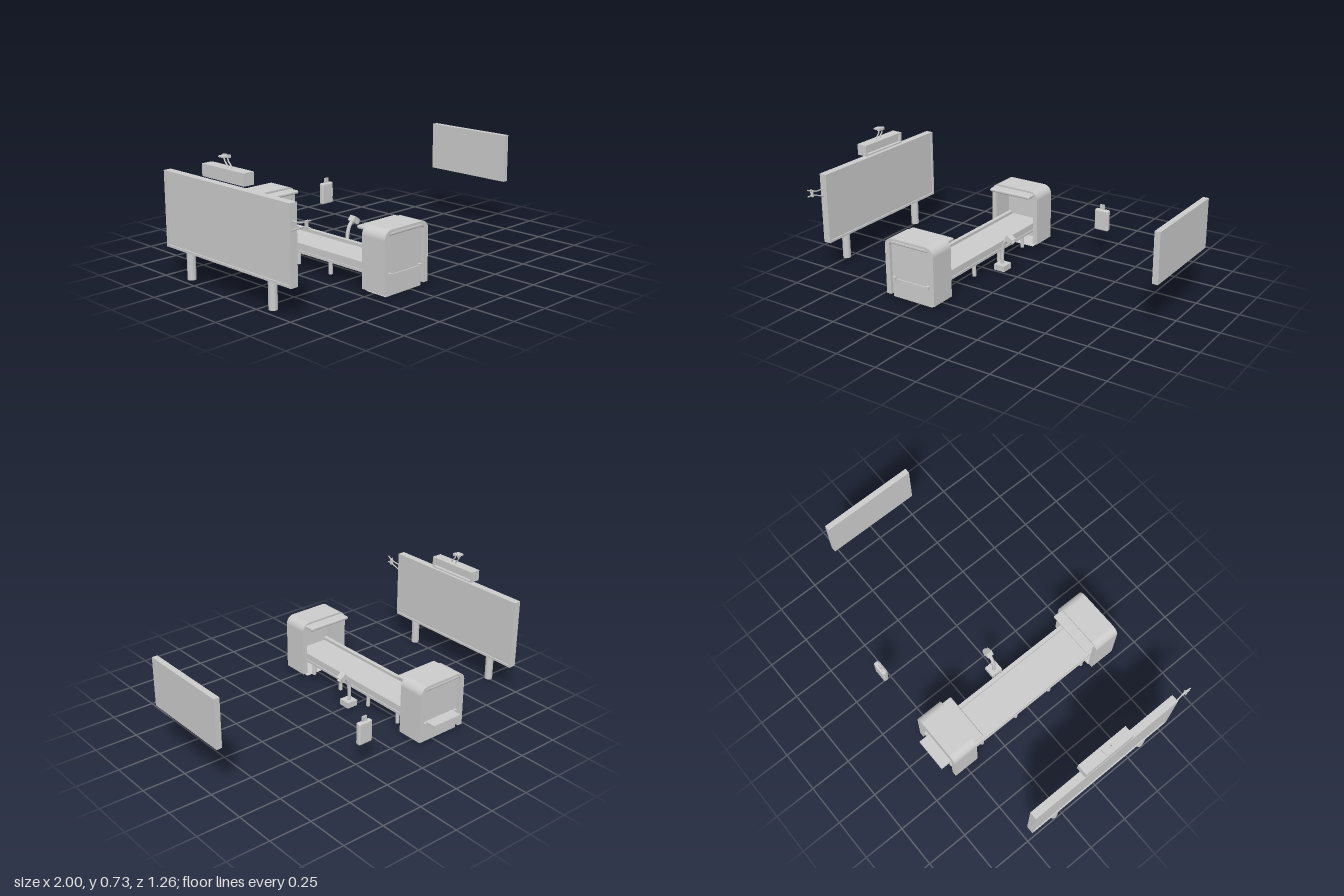
import * as THREE from 'three';
import { RoundedBoxGeometry } from 'three/addons/geometries/RoundedBoxGeometry.js';

const mat = new THREE.MeshStandardMaterial({ color: 0xcccccc });
const thin = new THREE.MeshStandardMaterial({ color: 0xcccccc, side: THREE.DoubleSide });

function add(parent, name, geometry, x = 0, y = 0, z = 0, material = mat) {
  const mesh = new THREE.Mesh(geometry, material);
  mesh.name = name;
  mesh.position.set(x, y, z);
  parent.add(mesh);
  return mesh;
}

// Box given by its limits on each axis
function box(parent, name, x0, x1, y0, y1, z0, z1) {
  return add(parent, name, new THREE.BoxGeometry(x1 - x0, y1 - y0, z1 - z0),
    (x0 + x1) / 2, (y0 + y1) / 2, (z0 + z1) / 2);
}

function post(parent, name, r, x, y0, y1, z) {
  return add(parent, name, new THREE.CylinderGeometry(r, r, y1 - y0, 20), x, (y0 + y1) / 2, z);
}

function tube(parent, name, points, r) {
  const curve = new THREE.CatmullRomCurve3(points.map(p => new THREE.Vector3(...p)));
  return add(parent, name, new THREE.TubeGeometry(curve, 24, r, 10), 0, 0, 0, thin);
}

function group(parent, name) {
  const g = new THREE.Group();
  g.name = name;
  parent.add(g);
  return g;
}

// Upright rectangular rim facing x
function rim(parent, name, x0, x1, y0, y1, z0, z1, w) {
  box(parent, name + 'Top', x0, x1, y1 - w, y1, z0, z1);
  box(parent, name + 'Bottom', x0, x1, y0, y0 + w, z0, z1);
  box(parent, name + 'Front', x0, x1, y0 + w, y1 - w, z1 - w, z1);
  box(parent, name + 'Back', x0, x1, y0 + w, y1 - w, z0, z0 + w);
}

// Arch outline: straight sides, rounded top corners
function arch(path, hw, y0, y1, r) {
  path.moveTo(-hw, y0);
  path.lineTo(hw, y0);
  path.lineTo(hw, y1 - r);
  path.absarc(hw - r, y1 - r, r, 0, Math.PI / 2, false);
  path.lineTo(-hw + r, y1);
  path.absarc(-hw + r, y1 - r, r, Math.PI / 2, Math.PI, false);
  path.closePath();
  return path;
}

// Hollow hood as one continuous band, open underneath
function hoodShape() {
  const s = new THREE.Shape();
  const W = 0.163, T = 0.355, R = 0.05, w = 0.133, t = 0.341, r = 0.03, b = 0.02;
  s.moveTo(W, b);
  s.lineTo(W, T - R);
  s.absarc(W - R, T - R, R, 0, Math.PI / 2, false);
  s.absarc(-W + R, T - R, R, Math.PI / 2, Math.PI, false);
  s.lineTo(-W, b);
  s.lineTo(-w, b);
  s.lineTo(-w, t - r);
  s.absarc(-w + r, t - r, r, Math.PI, Math.PI / 2, true);
  s.absarc(w - r, t - r, r, Math.PI / 2, 0, true);
  s.lineTo(w, b);
  s.closePath();
  return s;
}

// One end housing, its outer side facing +z
function housing(parent, name) {
  const g = group(parent, name);
  add(g, 'hood', new THREE.ExtrudeGeometry(hoodShape(),
    { depth: 0.158, bevelEnabled: false, curveSegments: 10 }), 0, 0, 0.445);
  add(g, 'endPanel', new THREE.ShapeGeometry(arch(new THREE.Shape(), 0.133, 0, 0.33, 0.025)),
    0, 0, 0.583, thin);
  const floor = add(g, 'floorPlate', new THREE.PlaneGeometry(0.266, 0.138), 0, 0.001, 0.514, thin);
  floor.rotation.x = -Math.PI / 2;
  add(g, 'visor', new RoundedBoxGeometry(0.282, 0.02, 0.07, 3, 0.008), 0, 0.333, 0.42);
  add(g, 'outerLip', new RoundedBoxGeometry(0.262, 0.02, 0.03, 3, 0.008), 0, 0.333, 0.588);
  box(g, 'slotBar', -0.11, 0.11, 0.108, 0.114, 0.583, 0.59);
  for (const s of [-1, 1]) {
    box(g, 'bracket', s * 0.114 - 0.009, s * 0.114 + 0.009, 0.105, 0.125, 0.583, 0.6);
  }
  return g;
}

export function createModel() {
  const root = new THREE.Group();
  root.name = 'conveyorStation';

  // Conveyor with a housing at each end
  const conveyor = group(root, 'conveyor');
  conveyor.position.x = -0.298;
  housing(conveyor, 'frontHousing');
  const back = housing(conveyor, 'backHousing');
  back.rotation.y = Math.PI;
  back.position.z = 0.023;
  box(conveyor, 'outfeedTray', -0.1, 0.1, 0.105, 0.125, -0.628, -0.5);
  box(conveyor, 'belt', -0.1, 0.1, 0.108, 0.126, -0.55, 0.57);
  for (const s of [-1, 1]) {
    const x = s * 0.11;
    box(conveyor, 'railCore', x - 0.007, x + 0.007, 0.095, 0.138, -0.55, 0.57);
    box(conveyor, 'railTop', x - 0.012, x + 0.012, 0.13, 0.145, -0.55, 0.57);
    box(conveyor, 'railBottom', x - 0.012, x + 0.012, 0.088, 0.103, -0.55, 0.57);
    for (let i = 0; i < 4; i++) {
      post(conveyor, 'leg', 0.0115, s * 0.108, 0.02, 0.09, 0.407 - i * 0.25);
    }
  }

  // Large framed board on two posts
  const board = group(root, 'board');
  box(board, 'boardPanel', -0.993, -0.962, 0.17, 0.58, -0.47, 0.505);
  rim(board, 'boardRim', -1, -0.955, 0.167, 0.583, -0.475, 0.508, 0.013);
  for (const z of [0.35, -0.297]) post(board, 'boardPost', 0.0235, -0.977, 0.02, 0.172, z);

  // Lamp above the board
  const lamp = group(root, 'lamp');
  box(lamp, 'lampBody', -1, -0.955, 0.605, 0.67, -0.145, 0.18);
  rim(lamp, 'lampRim', -0.955, -0.935, 0.605, 0.67, -0.145, 0.18, 0.008);

  // Paired cables with clamps
  const cables = group(root, 'cables');
  for (const d of [0, 0.032]) {
    tube(cables, 'topCable', [[-0.967, 0.665, 0.056 - d], [-0.967, 0.685, 0.043 - d],
      [-0.967, 0.703, 0.025 - d * 0.9], [-0.967, 0.73, 0.022 - d * 0.85]], 0.004);
    box(cables, 'topClampEnd', -0.975, -0.955, 0.718, 0.733, 0.016 - d, 0.032 - d);
  }
  box(cables, 'topClamp', -1, -0.955, 0.722, 0.73, -0.012, 0.033);
  tube(cables, 'sideCable', [[-0.985, 0.495, 0.5], [-0.98, 0.498, 0.56],
    [-0.978, 0.51, 0.6], [-0.982, 0.523, 0.63]], 0.004);
  tube(cables, 'sideCable', [[-0.985, 0.447, 0.5], [-0.98, 0.468, 0.55],
    [-0.978, 0.483, 0.59], [-0.982, 0.484, 0.63]], 0.004);
  box(cables, 'sideClamp', -0.99, -0.97, 0.475, 0.517, 0.597, 0.603);

  // Scanner on a bent stalk
  const scanner = group(root, 'scanner');
  box(scanner, 'scannerBase', -0.145, -0.075, 0.02, 0.055, -0.048, 0.024);
  tube(scanner, 'stalk', [[-0.113, 0.05, -0.014], [-0.113, 0.1, -0.014],
    [-0.108, 0.15, -0.014], [-0.092, 0.192, -0.014], [-0.068, 0.215, -0.014]], 0.011);
  const head = group(scanner, 'scannerHead');
  head.position.set(-0.06, 0.216, -0.014);
  head.rotation.z = -0.6;
  box(head, 'headBody', -0.022, 0.022, -0.015, 0.018, -0.02, 0.02);
  const lens = add(head, 'lens', new THREE.CylinderGeometry(0.016, 0.013, 0.014, 20), 0.026, 0, 0);
  lens.rotation.z = -Math.PI / 2;

  // Small handset
  const handset = group(root, 'handset');
  add(handset, 'handsetBody', new RoundedBoxGeometry(0.09, 0.131, 0.032, 4, 0.01), 0.24, 0.223, -0.552);
  box(handset, 'handsetScreen', 0.203, 0.277, 0.2, 0.277, -0.537, -0.533);
  box(handset, 'antenna', 0.226, 0.254, 0.28, 0.318, -0.556, -0.547);

  // Wall screen
  box(root, 'wallScreen', 0.967, 1, 0.302, 0.587, -0.324, 0.247);

  return root;
}
